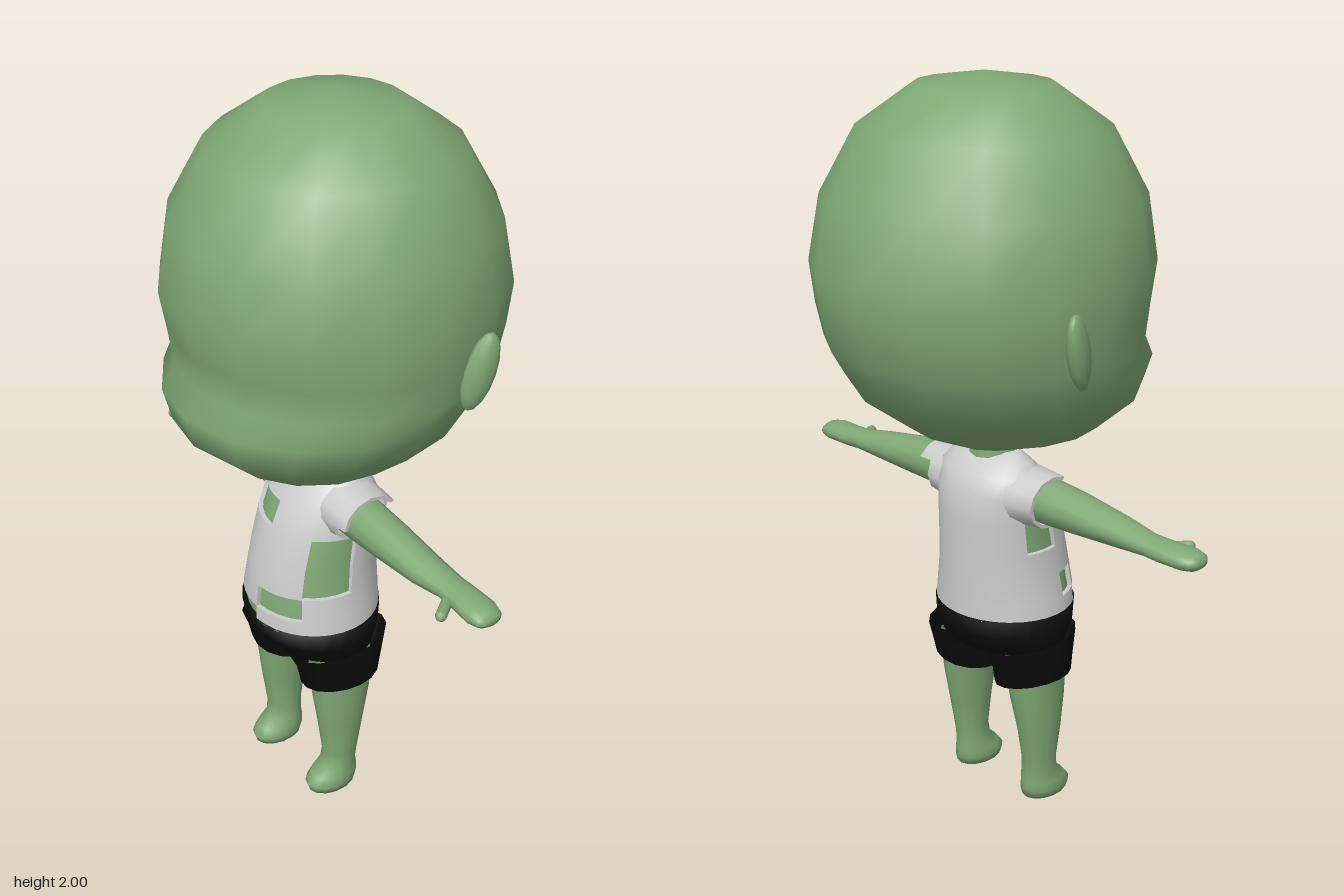
import * as THREE from 'three';
import { mergeVertices } from 'three/addons/utils/BufferGeometryUtils.js';

const material = (color) => new THREE.MeshStandardMaterial({ color, side: THREE.DoubleSide });

// Point on an upright cross-section: ring = [y, centreX, halfWidth, zFront, zBack]
function ringPoint([y, cx, rx, zf, zb], turn, inset = 0) {
  const a = turn * Math.PI * 2;
  const depth = Math.max(0, (zf - zb) / 2 - inset);
  return [cx + Math.max(0, rx - inset) * Math.sin(a), y, (zf + zb) / 2 + depth * Math.cos(a)];
}

function toGeometry(positions, index) {
  const geo = new THREE.BufferGeometry();
  geo.setAttribute('position', new THREE.Float32BufferAttribute(positions, 3));
  geo.setIndex(index);
  return geo;
}

// Smooth skin through rings listed from low to high
function loft(rings, sides, inset = 0) {
  const pos = [], index = [];
  rings.forEach((ring, j) => {
    for (let i = 0; i < sides; i++) pos.push(...ringPoint(ring, i / sides, inset));
    if (j === 0) return;
    for (let i = 0; i < sides; i++) {
      const n = (i + 1) % sides, lo = (j - 1) * sides, hi = j * sides;
      index.push(lo + i, lo + n, hi + n, lo + i, hi + n, hi + i);
    }
  });
  const geo = mergeVertices(toGeometry(pos, index), 1e-5);
  geo.computeVertexNormals();
  return geo;
}

// Cloth through rings, with cells left out and a thin rim around every opening
function cloth(rings, sides, isHole, thickness) {
  const skin = loft(rings, sides);
  const pos = [], normals = [], index = [];
  const sn = skin.attributes.normal, sp = skin.attributes.position;
  const normalAt = (p) => {
    for (let k = 0; k < sp.count; k++) {
      if (Math.hypot(sp.getX(k) - p[0], sp.getY(k) - p[1], sp.getZ(k) - p[2]) < 1e-4)
        return [sn.getX(k), sn.getY(k), sn.getZ(k)];
    }
    return [0, 1, 0];
  };
  const quad = (pts, norms) => {
    const s = pos.length / 3;
    pts.forEach((p, k) => { pos.push(...p); normals.push(...norms[k]); });
    index.push(s, s + 1, s + 2, s, s + 2, s + 3);
  };
  const rows = rings.length - 1;
  const open = (j, i) => j < 0 || j >= rows || isHole(j, (i + sides) % sides);
  for (let j = 0; j < rows; j++) for (let i = 0; i < sides; i++) {
    if (open(j, i)) continue;
    const corners = [[j, i], [j, i + 1], [j + 1, i + 1], [j + 1, i]];
    const outer = corners.map(([r, c]) => ringPoint(rings[r], (c % sides) / sides));
    const inner = corners.map(([r, c]) => ringPoint(rings[r], (c % sides) / sides, thickness));
    quad(outer, outer.map(normalAt));
    [[j - 1, i], [j, i + 1], [j + 1, i], [j, i - 1]].forEach(([r, c], e) => {
      if (!open(r, c)) return;
      const f = (e + 1) % 4;
      const pts = [outer[e], inner[e], inner[f], outer[f]];
      const [a, b, , d] = pts.map((p) => new THREE.Vector3(...p));
      const n = b.sub(a).cross(d.sub(a)).normalize().toArray();
      quad(pts, [n, n, n, n]);
    });
  }
  const geo = toGeometry(pos, index);
  geo.setAttribute('normal', new THREE.Float32BufferAttribute(normals, 3));
  return geo;
}

// Reflect a geometry to the other side, keeping its faces outward
function mirrored(source) {
  const geo = source.clone().scale(-1, 1, 1);
  const idx = geo.index.array;
  for (let k = 0; k < idx.length; k += 3) [idx[k], idx[k + 1]] = [idx[k + 1], idx[k]];
  return geo;
}

export function createModel() {
  const model = new THREE.Group();
  model.name = 'figure';
  const skin = material(0x7fa874), shirtMat = material(0xcccccc), shortsMat = material(0x0a0a0a);
  const add = (name, geo, mat) => {
    const mesh = new THREE.Mesh(geo, mat);
    mesh.name = name;
    model.add(mesh);
  };
  const addPair = (name, geo, mat) => {
    add('left' + name, geo, mat);
    add('right' + name, mirrored(geo), mat);
  };

  // Large round head with a wide protruding muzzle
  add('head', loft([
    [1.03, 0, 0, 0, 0],
    [1.05, 0, 0.13, 0.19, -0.09],
    [1.095, 0, 0.26, 0.33, -0.19],
    [1.185, 0, 0.365, 0.43, -0.315],
    [1.27, 0, 0.405, 0.45, -0.37],
    [1.33, 0, 0.418, 0.407, -0.405],
    [1.42, 0, 0.427, 0.42, -0.43],
    [1.53, 0, 0.436, 0.44, -0.447],
    [1.7, 0, 0.41, 0.41, -0.412],
    [1.87, 0, 0.32, 0.315, -0.315],
    [1.97, 0, 0.178, 0.175, -0.175],
    [2, 0, 0, 0, 0],
  ], 16), skin);

  // Flat ears leaning backwards
  const ear = new THREE.SphereGeometry(1, 10, 8).scale(0.026, 0.105, 0.042);
  ear.rotateY(-0.35).rotateX(-0.27).rotateZ(-0.08).translate(0.424, 1.4, -0.112);
  addPair('Ear', ear, skin);

  add('neck', new THREE.CylinderGeometry(0.06, 0.075, 0.12, 12, 1, true).translate(0, 1.02, 0.04), skin);

  // Body under the shirt
  const torso = [
    [0.57, 0, 0.195, 0.262, -0.1],
    [0.615, 0, 0.188, 0.26, -0.1],
    [0.68, 0, 0.176, 0.252, -0.1],
    [0.76, 0, 0.17, 0.235, -0.1],
    [0.85, 0, 0.167, 0.207, -0.1],
    [0.92, 0, 0.166, 0.175, -0.095],
    [0.97, 0, 0.157, 0.13, -0.07],
    [1.0, 0, 0.125, 0.1, -0.035],
    [1.02, 0, 0.08, 0.08, 0],
  ];
  add('body', loft(torso, 32, 0.012), skin);

  // Torn shirt: holes as [row, first column, end column], columns counted from the front
  const tears = [[0, -5, 0], [1, 0, 4], [1, -7, -5], [2, 4, 8], [3, 4, 8], [3, -10, -7], [4, -4, 0]];
  const torn = (j, i) => tears.some(([r, from, to]) => {
    const c = i >= 16 ? i - 32 : i;
    return r === j && c >= from && c < to;
  });
  add('shirt', cloth(torso, 32, torn, 0.014), shirtMat);

  // Ragged sleeves, lofted upright and then laid along x
  const sleeveRings = [
    [0.11, -0.915, 0.078, 0.135, -0.055],
    [0.165, -0.915, 0.074, 0.13, -0.05],
    [0.21, -0.915, 0.07, 0.125, -0.045],
  ];
  const sleeve = (hole) => cloth(sleeveRings, 12, hole, 0.01).rotateZ(-Math.PI / 2);
  add('leftSleeve', sleeve((j, i) => j === 1 && i < 7), shirtMat);
  add('rightSleeve', mirrored(sleeve((j, i) => j === 1 && (i < 2 || i > 9))), shirtMat);

  // Arms held straight out, ending in mitten hands
  const arm = loft([
    [0.1, -0.915, 0.064, 0.11, -0.02],
    [0.2, -0.912, 0.061, 0.11, -0.015],
    [0.3, -0.908, 0.054, 0.107, -0.01],
    [0.44, -0.9, 0.039, 0.1, -0.002],
    [0.53, -0.896, 0.028, 0.085, 0.002],
    [0.58, -0.894, 0.028, 0.088, 0],
    [0.645, -0.893, 0.027, 0.096, 0],
    [0.677, -0.892, 0.021, 0.088, 0.01],
    [0.688, -0.891, 0.012, 0.074, 0.022],
    [0.69, -0.891, 0, 0.048, 0.048],
  ], 12).rotateZ(-Math.PI / 2);
  addPair('Arm', arm, skin);
  const thumb = new THREE.CapsuleGeometry(0.015, 0.065, 3, 8);
  thumb.rotateX(Math.PI / 2).rotateY(0.62).translate(0.572, 0.885, 0.1);
  addPair('Thumb', thumb, skin);

  // Shorts: hips and two flared legs with slanted hems
  add('shortsHips', loft([
    [0.44, 0, 0, 0.07, 0.07],
    [0.445, 0, 0.11, 0.16, -0.02],
    [0.47, 0, 0.19, 0.215, -0.07],
    [0.52, 0, 0.2, 0.25, -0.093],
    [0.575, 0, 0.197, 0.264, -0.102],
    [0.575, 0, 0, 0.08, 0.08],
  ], 24), shortsMat);
  const shortsLeg = loft([
    [0.37, 0.117, 0.098, 0.182, -0.04],
    [0.43, 0.115, 0.095, 0.197, -0.058],
    [0.49, 0.105, 0.096, 0.225, -0.085],
  ], 16);
  const sp = shortsLeg.attributes.position;
  for (let k = 0; k < sp.count; k++) {
    if (sp.getY(k) < 0.4) sp.setY(k, 0.37 + (sp.getX(k) - 0.117) * 0.2);
  }
  shortsLeg.computeVertexNormals();
  addPair('ShortsLeg', shortsLeg, shortsMat);

  // Legs tapering to the ankles, with small rounded feet
  addPair('Leg', loft([
    [0, 0.13, 0, 0.11, 0.11],
    [0.002, 0.13, 0.05, 0.182, 0.036],
    [0.025, 0.13, 0.056, 0.19, 0.03],
    [0.048, 0.13, 0.052, 0.172, 0.03],
    [0.075, 0.13, 0.047, 0.14, 0.034],
    [0.12, 0.133, 0.046, 0.133, 0.03],
    [0.22, 0.134, 0.055, 0.147, 0.012],
    [0.32, 0.13, 0.066, 0.16, -0.01],
    [0.43, 0.125, 0.075, 0.168, -0.025],
  ], 14), skin);

  return model;
}
